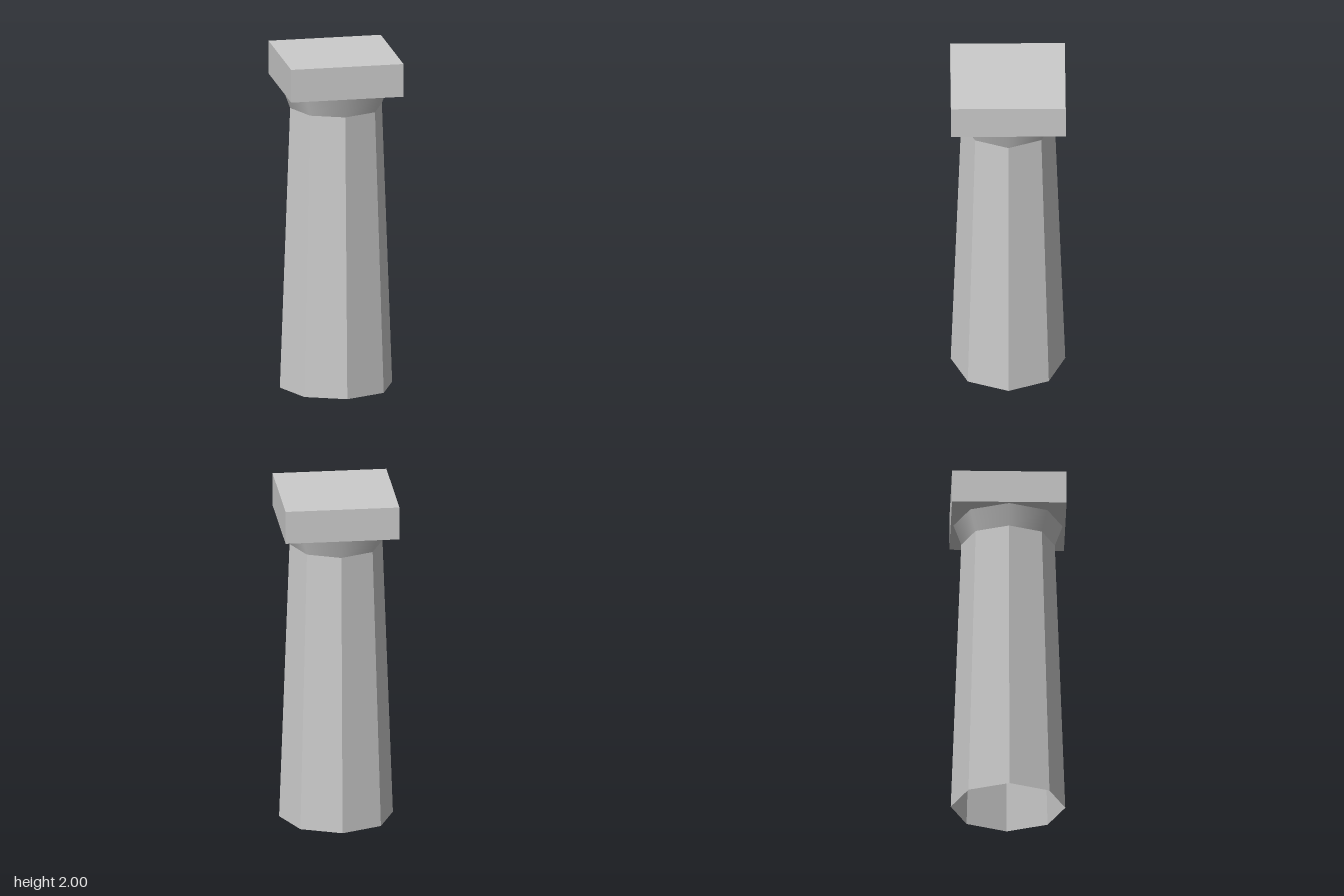
import * as THREE from 'three';

const SIDES = 8;

export function createModel() {
  const column = new THREE.Group();
  column.name = 'column';

  const add = (name, geometry, bottom, height, options = {}) => {
    const material = new THREE.MeshStandardMaterial({ color: 0xcccccc, ...options });
    const mesh = new THREE.Mesh(geometry, material);
    mesh.name = name;
    mesh.position.y = bottom + height / 2;
    column.add(mesh);
  };

  // Tapered octagonal shaft, hollow and open at the foot
  add('shaft', new THREE.CylinderGeometry(0.272, 0.333, 1.68, SIDES, 1, true), 0, 1.68,
    { flatShading: true, side: THREE.DoubleSide });

  // Flaring capital with smooth shading around its sides
  add('capital', new THREE.CylinderGeometry(0.318, 0.272, 0.125, SIDES, 1, true), 1.68, 0.125,
    { side: THREE.DoubleSide });

  // Square slab on top
  add('topSlab', new THREE.BoxGeometry(0.666, 0.197, 0.666), 1.803, 0.197);

  return column;
}
